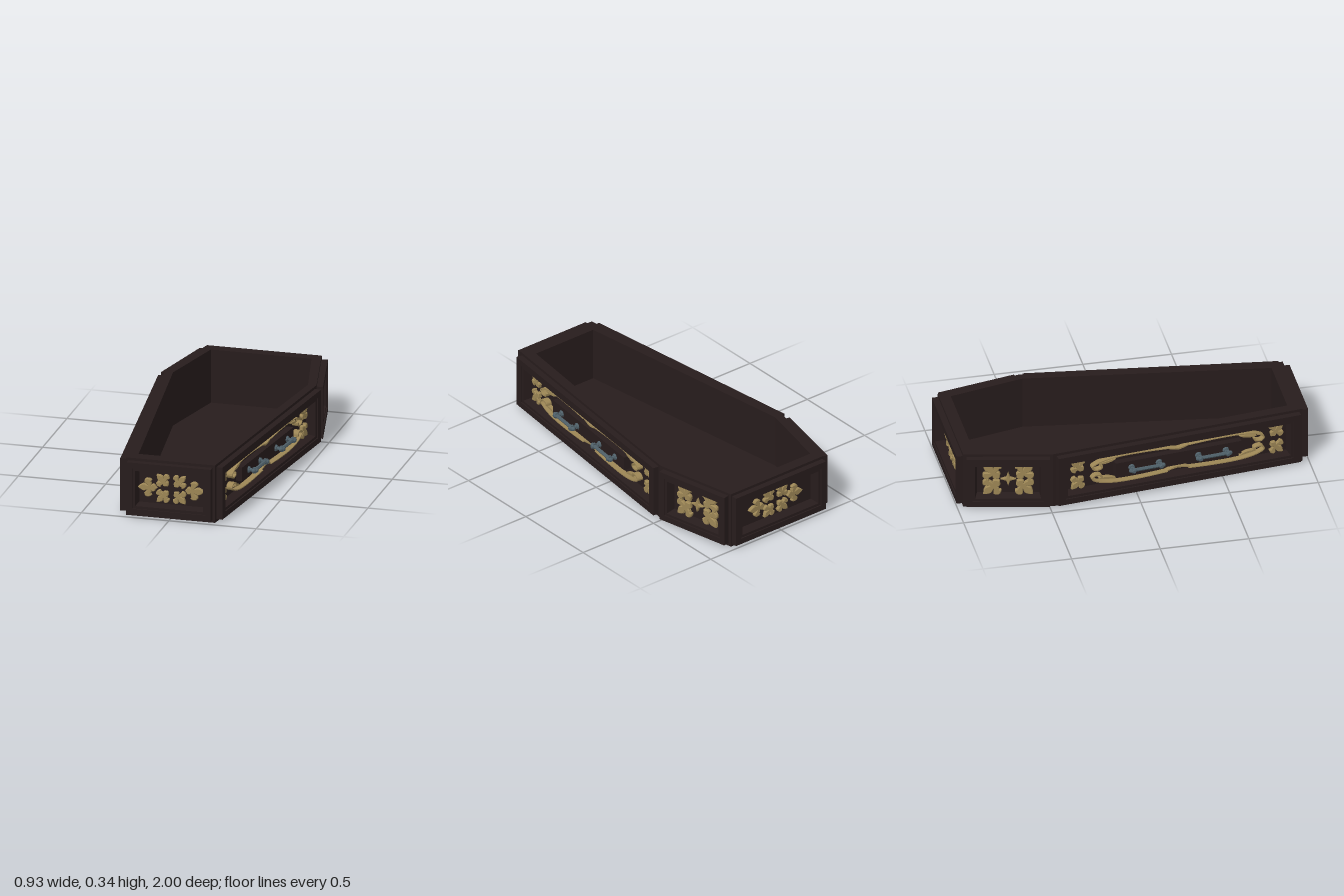
import * as THREE from 'three';

const wood = new THREE.MeshStandardMaterial({ name: 'dark wood', color: 0x271c1c });
const gold = new THREE.MeshStandardMaterial({ name: 'old gold', color: 0x9c8655 });
const steel = new THREE.MeshStandardMaterial({ name: 'blue steel', color: 0x4e5f68, flatShading: true });

const MID = 0.168;    // height of the panel centres
const BASE = -0.026;  // depth of the panel recesses, behind the wall plane

function add(parent, name, geometry, material, x = 0, y = 0, z = 0) {
  const mesh = new THREE.Mesh(geometry, material);
  mesh.name = name;
  mesh.position.set(x, y, z);
  parent.add(mesh);
  return mesh;
}

const extrude = (shape, depth, bevel = 0) => new THREE.ExtrudeGeometry(shape, {
  depth: depth - bevel, bevelEnabled: bevel > 0, bevelThickness: bevel,
  bevelSize: bevel, bevelOffset: -bevel, bevelSegments: 1, curveSegments: 6,
});

const vec = ([x, y]) => new THREE.Vector2(x, y);
const spline = (pts, n) => new THREE.SplineCurve(pts.map(vec)).getPoints(n);
const rect = (w, h) => [[-w, -h], [w, -h], [w, h], [-w, h]].map(([x, y]) => vec([x / 2, y / 2]));

// Six-sided outline from its +x corners, drawn in (x, -z)
function hexagon(corners) {
  const half = corners.map(([x, z]) => new THREE.Vector2(x, -z));
  const other = half.map(p => new THREE.Vector2(-p.x, p.y)).reverse();
  return [...half, ...other];
}

// Flat outline with one hole
function ring(outer, inner) {
  const shape = new THREE.Shape(outer);
  shape.holes.push(new THREE.Path([...inner].reverse()));
  return shape;
}

// Four sloping faces from an outer rectangle at z0 to an inner one at z1
function slopes(outer, z0, inner, z1) {
  const pos = [];
  for (let i = 0; i < 4; i++) {
    const j = (i + 1) % 4;
    const a = [outer[i].x, outer[i].y, z0], b = [outer[j].x, outer[j].y, z0];
    const c = [inner[j].x, inner[j].y, z1], d = [inner[i].x, inner[i].y, z1];
    pos.push(...a, ...b, ...c, ...a, ...c, ...d);
  }
  const g = new THREE.BufferGeometry();
  g.setAttribute('position', new THREE.Float32BufferAttribute(pos, 3));
  g.computeVertexNormals();
  return g;
}

// Lily ornament of unit height, pointing to +y
function lilyShape(size) {
  const half = [
    ...spline([[0, 0.55], [0.12, 0.41], [0.2, 0.22], [0.12, 0.02]], 8),
    ...spline([[0.17, 0.06], [0.32, 0.2], [0.47, 0.14], [0.51, -0.04], [0.42, -0.2],
      [0.33, -0.15], [0.24, -0.18], [0.14, -0.18]], 14),
    ...spline([[0.2, -0.24], [0.19, -0.35], [0.1, -0.42], [0, -0.5]], 5),
  ].map(p => p.multiplyScalar(size));
  const mirrored = half.slice(1, -1).reverse().map(p => new THREE.Vector2(-p.x, p.y));
  return new THREE.Shape([...half, ...mirrored]);
}

function lily(parent, x, y, size, angle) {
  add(parent, 'lilyOrnament', extrude(lilyShape(size), 0.02, size * 0.04), gold, x, y, BASE)
    .rotation.z = angle;
}

// Four lilies mirrored about the panel centre, pointing to the corners
function cornerLilies(parent, dx, dy, size) {
  for (const sx of [-1, 1]) for (const sy of [-1, 1]) {
    lily(parent, sx * dx, MID + sy * dy, size, Math.atan2(-sx, sy));
  }
}

// Tapered ribbon along a curve
function ribbonShape(pts, widthAt) {
  const curve = new THREE.SplineCurve(pts.map(vec));
  const outer = [], inner = [], n = 28;
  for (let i = 0; i <= n; i++) {
    const p = curve.getPoint(i / n), t = curve.getTangent(i / n);
    const side = new THREE.Vector2(-t.y, t.x).multiplyScalar(widthAt(i / n) / 2);
    outer.push(p.clone().add(side));
    inner.push(p.clone().sub(side));
  }
  return new THREE.Shape([...outer, ...inner.reverse()]);
}

// Framed wall panel; local +z points out of the wall between floor points a and b
function panel(parent, name, a, b, inset, margin) {
  const g = new THREE.Group();
  g.name = name;
  const dx = b[0] - a[0], dz = b[1] - a[1], length = Math.hypot(dx, dz);
  g.position.set((a[0] + b[0]) / 2, 0, (a[1] + b[1]) / 2);
  g.rotation.y = Math.atan2(-dz, dx);
  const w = length - 2 * inset, iw = w - 2 * margin, ih = 0.205;
  const hole = rect(iw, ih), step = rect(iw + 0.03, ih + 0.03);
  add(g, 'panelFrame', extrude(ring(rect(w, 0.303), step), 0.035), wood, 0, MID, 0);
  add(g, 'panelMoulding', extrude(ring(step, hole), 0.028), wood, 0, MID, 0);
  add(g, 'recessSurround', extrude(ring(rect(length, ih + 0.02), hole), -BASE), wood, 0, MID, BASE);
  add(g, 'recessSlopes', slopes(hole, 0.028, rect(iw - 0.02, ih - 0.02), BASE), wood, 0, MID, 0);
  parent.add(g);
  return g;
}

// Carrying handle along local x
function handle(parent, x) {
  const g = new THREE.Group();
  g.name = 'handle';
  g.position.set(x, MID, 0);
  const along = (r, len) => new THREE.CylinderGeometry(r, r, len, 6).rotateZ(Math.PI / 2);
  const outward = (r1, r2, len) => new THREE.CylinderGeometry(r1, r2, len, 8).rotateX(Math.PI / 2);
  add(g, 'handleBar', along(0.0105, 0.18), steel, 0, 0, 0.048);
  for (const s of [-1, 1]) {
    add(g, 'handleRosette', outward(0.015, 0.02, 0.01), steel, s * 0.08, 0, 0.017);
    add(g, 'handlePost', outward(0.009, 0.01, 0.04), steel, s * 0.08, 0, 0.032);
    add(g, 'handleCollar', outward(0.009, 0.015, 0.01), steel, s * 0.08, 0, 0.062);
    add(g, 'handleKnob', along(0.018, 0.014), steel, s * 0.08, 0, 0.048);
    add(g, 'handleTip', new THREE.SphereGeometry(0.013, 8, 6), steel, s * 0.094, 0, 0.048);
  }
  parent.add(g);
}

// Ornaments of the head and foot panels
function decorateEnd(g) {
  for (const s of [-1, 1]) lily(g, s * 0.132, MID, 0.105, -s * Math.PI / 2);
  cornerLilies(g, 0.048, 0.046, 0.086);
}

// Scrollwork, plaque and handles of a long side
function decorateLongSide(g) {
  cornerLilies(g, 0.58, 0.053, 0.094);
  add(g, 'handlePlaque', new THREE.BoxGeometry(0.735, 0.08, 0.038), wood, 0, MID, -0.007);
  handle(g, -0.195);
  handle(g, 0.195);
  const scroll = ribbonShape([[0.06, 0.074], [0.2, 0.081], [0.34, 0.081], [0.44, 0.068],
    [0.5, 0.042], [0.485, 0.018], [0.45, 0.022], [0.445, 0.04]], t => 0.004 + 0.005 * t);
  const leaf = ribbonShape([[0.36, 0.062], [0.41, 0.05], [0.46, 0.046]],
    t => 0.001 + 0.012 * Math.sin(Math.PI * t));
  const crest = ribbonShape([[-0.07, 0.074], [-0.035, 0.064], [0, 0.058], [0.035, 0.064],
    [0.07, 0.074]], t => 0.003 + 0.007 * Math.sin(Math.PI * t));
  for (const turn of [0, Math.PI]) {
    add(g, 'scrollCrest', extrude(crest, 0.03), gold, 0, MID, BASE).rotation.z = turn;
  }
  // Each quarter is a mirrored copy of the shape points
  for (const sx of [-1, 1]) for (const sy of [-1, 1]) {
    for (const [name, shape, depth] of [['scrollRibbon', scroll, 0.036], ['scrollLeaf', leaf, 0.024]]) {
      const pts = shape.getPoints().map(p => new THREE.Vector2(p.x * sx, p.y * sy));
      add(g, name, extrude(new THREE.Shape(pts), depth), gold, 0, MID, BASE);
    }
  }
}

// Ornaments of a short shoulder side
function decorateShortSide(g) {
  cornerLilies(g, 0.09, 0.05, 0.122);
  const star = [];
  for (let i = 0; i < 8; i++) {
    const r = i % 2 ? 0.015 : 0.042, a = i * Math.PI / 4;
    star.push(new THREE.Vector2(r * Math.cos(a), r * Math.sin(a)));
  }
  add(g, 'starOrnament', extrude(new THREE.Shape(star), 0.018, 0.003), gold, 0, MID, BASE);
}

export function createModel() {
  const model = new THREE.Group();
  model.name = 'coffin';

  // Foot, shoulder and head corners of the shell
  const foot = [0.255, 0.965], shoulder = [0.433, -0.48], head = [0.328, -0.965];
  const outline = hexagon([foot, shoulder, head]);
  const core = hexagon([[0.231, 0.939], [0.4068, -0.479], [0.307, -0.939]]);
  const inside = hexagon([[0.203, 0.89], [0.386, -0.475], [0.288, -0.9]]);

  // Floor slab, then the upright walls: full at the rims, thinner behind the recesses
  const layers = [
    ['floor', new THREE.Shape(outline), 0, 0.025],
    ['lowerWalls', ring(outline, inside), 0.025, 0.07],
    ['recessBacks', ring(core, inside), 0.07, 0.268],
    ['upperWalls', ring(outline, inside), 0.268, 0.335],
  ];
  for (const [name, shape, y0, y1] of layers) {
    add(model, name, extrude(shape, y1 - y0).rotateX(-Math.PI / 2), wood, 0, y0, 0);
  }

  // Outer panels
  const flip = ([x, z]) => [-x, z];
  decorateEnd(panel(model, 'footPanel', flip(foot), foot, 0.015, 0.045));
  decorateEnd(panel(model, 'headPanel', head, flip(head), 0.008, 0.05));
  decorateLongSide(panel(model, 'leftLongPanel', foot, shoulder, 0.02, 0.058));
  decorateLongSide(panel(model, 'rightLongPanel', flip(shoulder), flip(foot), 0.02, 0.058));
  decorateShortSide(panel(model, 'leftShoulderPanel', shoulder, head, 0.019, 0.047));
  decorateShortSide(panel(model, 'rightShoulderPanel', flip(head), flip(shoulder), 0.019, 0.047));
  return model;
}
